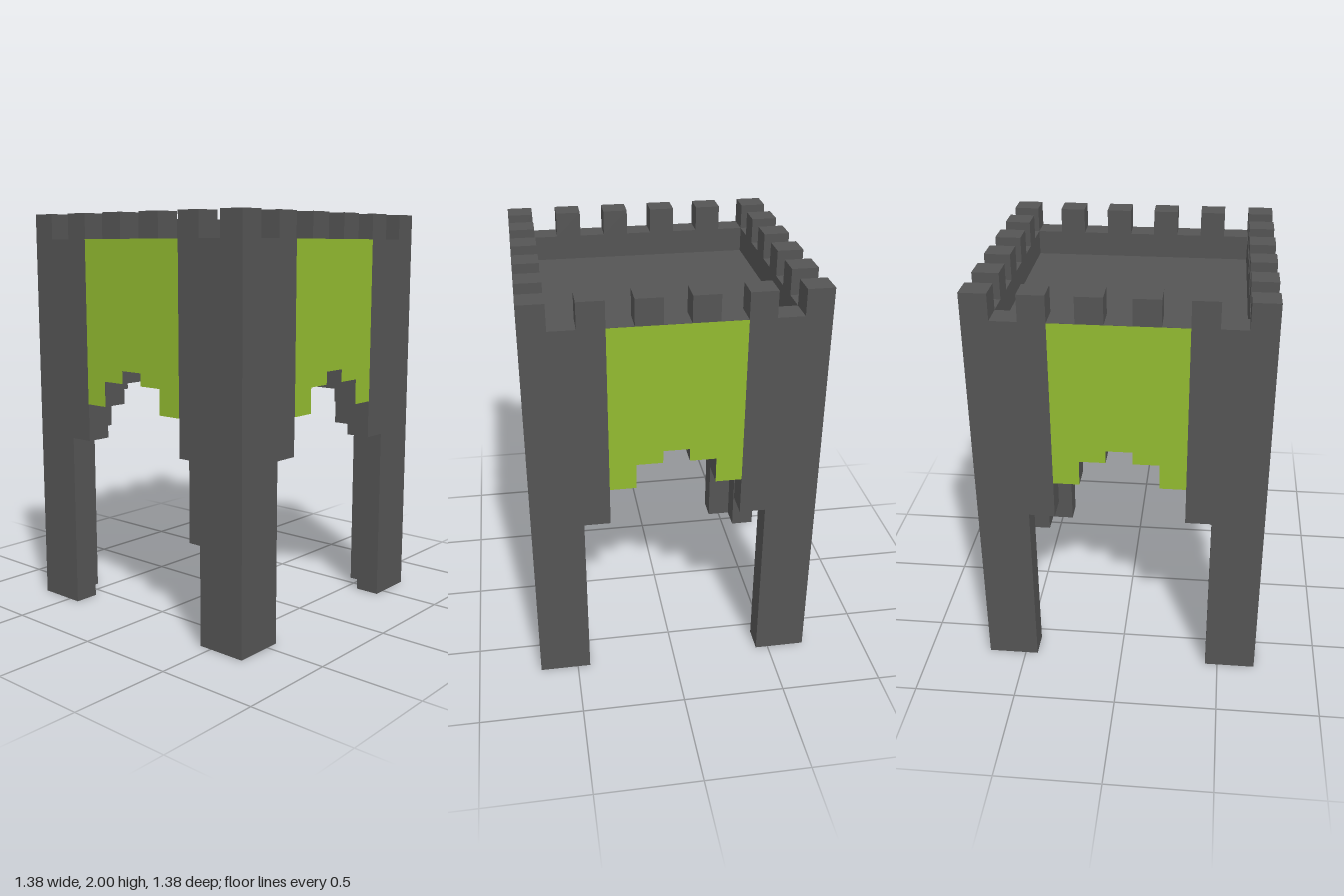
import * as THREE from 'three';

const U = 0.0625; // half a block
const T = 2 * U;  // wall thickness
const HALF = 11 * U;
const FLOOR_TOP = 1.75;

const stone = new THREE.MeshStandardMaterial({ color: 0x545454, flatShading: true });
const green = new THREE.MeshStandardMaterial({ color: 0x92ba30, flatShading: true });

// Stepped arch from the middle outwards: [x in half blocks, y]
const arch = [[1, 1.25], [1, 1.1875], [3, 1.1875], [3, 1.0625], [5, 1.0625]];
const legs = [[5, 0.875], [7, 0.875], [7, 0]];
const battlements = [[9, 1.875], [7, 1.875], [7, 2], [5, 2], [5, 1.875], [3, 1.875], [3, 2], [1, 2], [1, 1.875]];

// Closed shape from its right half, mirrored to the left
function mirroredShape(half) {
  const right = half.map(([x, y]) => new THREE.Vector2(x * U, y));
  const left = right.map((p) => new THREE.Vector2(-p.x, p.y)).reverse();
  return new THREE.Shape([...right, ...left]);
}

function createSide(corners) {
  const side = new THREE.Group();
  // Front and back carry the corner blocks; the other two fit between them
  const ends = corners ? [[11, 0], [11, 2], [9, 2]] : [[9, 0]];
  const wallGeometry = new THREE.ExtrudeGeometry(
    mirroredShape([...arch, ...legs, ...ends, ...battlements]),
    { depth: T, bevelEnabled: false }
  );
  wallGeometry.translate(0, 0, HALF - T);
  const wall = new THREE.Mesh(wallGeometry, stone);
  wall.name = 'wallWithLegs';

  // Coloured outer face above the arch
  const panel = new THREE.Mesh(new THREE.ShapeGeometry(mirroredShape([...arch, [5, 1.875]])), green);
  panel.name = 'greenPanel';
  panel.position.z = HALF + 0.002;

  side.add(wall, panel);
  return side;
}

export function createModel() {
  const model = new THREE.Group();
  model.name = 'watchtower';

  ['frontSide', 'leftSide', 'backSide', 'rightSide'].forEach((name, i) => {
    const side = createSide(i % 2 === 0);
    side.name = name;
    side.rotation.y = (i * Math.PI) / 2;
    model.add(side);
  });

  // Sunken roof platform
  const inner = 2 * (HALF - T);
  const platform = new THREE.Mesh(new THREE.BoxGeometry(inner, T, inner), stone);
  platform.name = 'roofPlatform';
  platform.position.y = FLOOR_TOP - T / 2;
  model.add(platform);

  return model;
}
